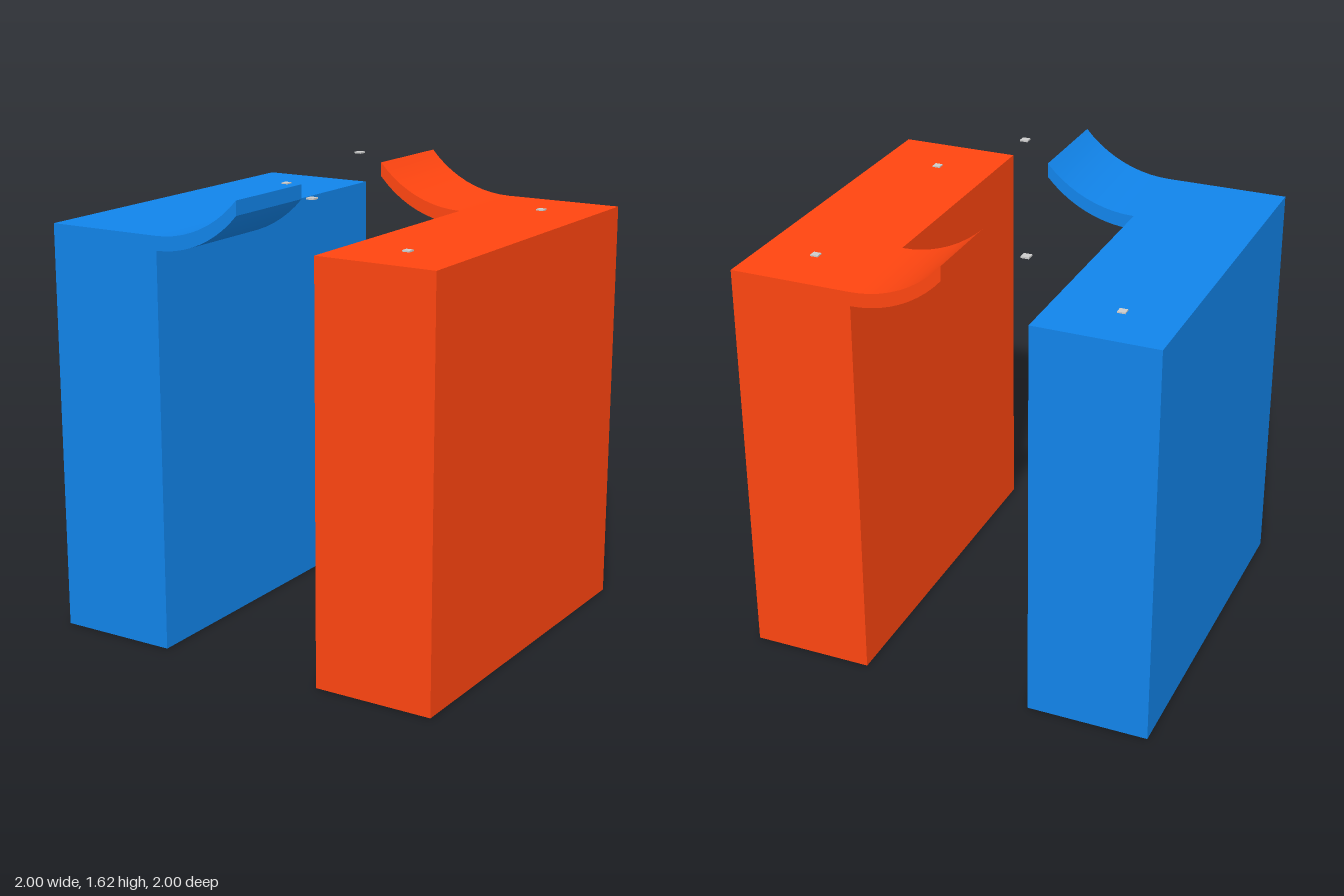
import * as THREE from 'three';
import { toCreasedNormals } from 'three/addons/utils/BufferGeometryUtils.js';

const LENGTH = 1.33, HEIGHT = 1.47, INNER = 0.311, OUTER = 0.75;
const ARM = { width: 0.382, reach: 0.325, rise: 0.147, thickness: 0.05 };

// Curved arm: an upward arc with vertical end faces, extruded across its width
function armGeometry() {
  const angle = 2 * Math.atan(ARM.rise / ARM.reach);
  const radius = ARM.reach / Math.sin(angle);
  const top = [];
  for (let i = 0; i <= 10; i++) {
    const a = angle * i / 10;
    top.push(new THREE.Vector2(radius * Math.sin(a) - INNER, HEIGHT + radius * (1 - Math.cos(a))));
  }
  const bottom = top.map(p => new THREE.Vector2(p.x, p.y - ARM.thickness));
  const shape = new THREE.Shape([...bottom, ...top.reverse()]);
  const geometry = new THREE.ExtrudeGeometry(shape, { depth: ARM.width, bevelEnabled: false });
  geometry.rotateY(Math.PI / 2); // profile runs toward -z, width along +x
  geometry.translate(LENGTH / 2 - ARM.width, 0, 0);
  return toCreasedNormals(geometry, 0.5);
}

// One half: a tall slab with an arm reaching inward from one end
function createHalf(name, color) {
  const half = new THREE.Group();
  half.name = name;
  const material = new THREE.MeshStandardMaterial({ color });

  const slab = new THREE.Mesh(new THREE.BoxGeometry(LENGTH, HEIGHT, OUTER - INNER), material);
  slab.position.set(0, HEIGHT / 2, (INNER + OUTER) / 2);
  slab.name = 'slab';

  const arm = new THREE.Mesh(armGeometry(), material);
  arm.name = 'curvedArm';
  half.add(slab, arm);
  return half;
}

export function createModel() {
  const model = new THREE.Group();
  model.name = 'interlockingHalves';

  // Everything is laid out square, then turned 45 degrees
  const body = new THREE.Group();
  body.name = 'body';
  body.rotation.y = Math.PI / 4;
  model.add(body);

  const orange = createHalf('orangeHalf', 0xff4510);
  const blue = createHalf('blueHalf', 0x1184ea);
  blue.rotation.y = Math.PI;
  body.add(orange, blue);

  // Tiny grey plates on the slabs and level with the arm tips
  const grey = new THREE.MeshStandardMaterial({ color: 0xcccccc });
  const plate = new THREE.BoxGeometry(0.028, 0.006, 0.028);
  const low = HEIGHT + 0.002, high = HEIGHT + ARM.rise - 0.004;
  for (const [x, y, z] of [
    [0.45, low, 0.55], [-0.45, low, 0.525], [0.46, low, -0.545],
    [0.48, high, -0.226], [-0.48, high, 0.184],
  ]) {
    const marker = new THREE.Mesh(plate, grey);
    marker.name = 'markerPlate';
    marker.position.set(x, y, z);
    body.add(marker);
  }
  return model;
}
